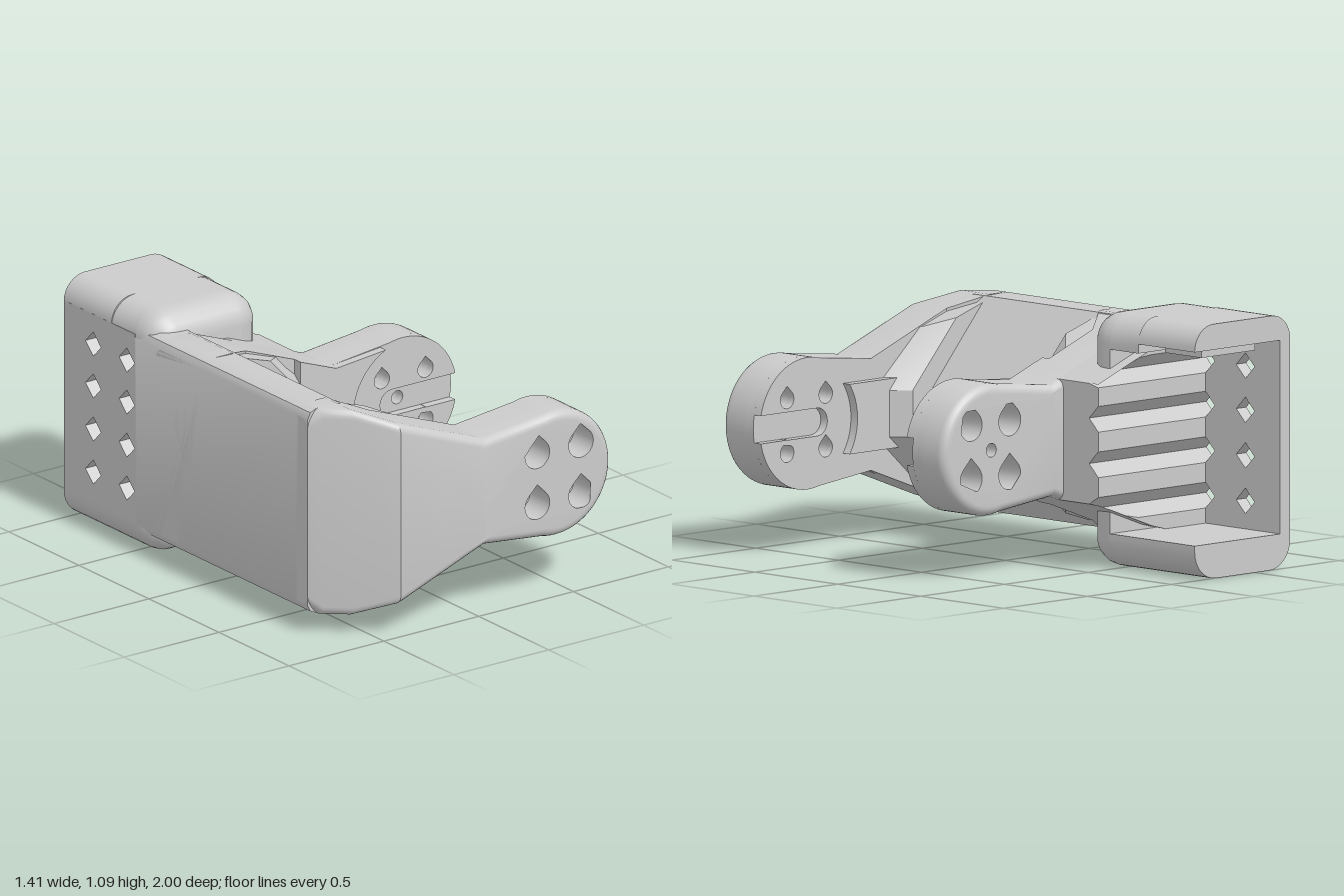
import * as THREE from 'three';
import { toCreasedNormals } from 'three/addons/utils/BufferGeometryUtils.js';

const MID = 0.55, TIP = 0.42, R = 0.283;
const mat = new THREE.MeshStandardMaterial({ color: 0xcccccc });
const clamp = THREE.MathUtils.clamp;

function mesh(name, geo, crease = 0.55) {
  const m = new THREE.Mesh(toCreasedNormals(geo, crease), mat);
  m.name = name;
  return m;
}

// Half height of the fan-shaped arm outline at x
const FAN = [[-0.71, 0.42], [-0.66, 0.465], [-0.56, 0.465], [0.04, 0.24], [0.35, 0.275]];
function fan(x) {
  for (let i = 1; i < FAN.length; i++) {
    const [x0, h0] = FAN[i - 1], [x1, h1] = FAN[i];
    if (x <= x1) return h0 + (h1 - h0) * clamp((x - x0) / (x1 - x0), 0, 1);
  }
  return 0.275;
}

const shapeOf = pts => new THREE.Shape(pts.map(p => new THREE.Vector2(p[0], p[1])));
function arc(cx, cy, r, a0, a1, n) {
  return Array.from({ length: n + 1 }, (_, i) => {
    const a = a0 + (a1 - a0) * i / n;
    return [cx + r * Math.cos(a), cy + r * Math.sin(a)];
  });
}
function extrude(shape, z0, z1, steps = 1) {
  return new THREE.ExtrudeGeometry(shape, { depth: z1 - z0, steps, bevelEnabled: false }).translate(0, 0, z0);
}
function moveVertices(geo, rule) {
  const p = geo.attributes.position, v = new THREE.Vector3();
  for (let i = 0; i < p.count; i++) {
    v.fromBufferAttribute(p, i);
    rule(v);
    p.setXYZ(i, v.x, v.y, v.z);
  }
  return geo;
}

// Extrusion whose +z rim is rounded by r, drawn in towards a core
function softExtrude(shape, z0, z1, r, core, skip = () => false) {
  const geo = extrude(shape, z0, z1, 6);
  return moveVertices(geo, v => {
    const k = Math.round((v.z - z0) / (z1 - z0) * 6);
    if (k === 0) return;
    const a = (k - 1) / 5 * Math.PI / 2;
    v.z = z1 - r + r * Math.sin(a);
    if (skip(v)) return;
    const [cx, cy] = core(v);
    const s = 1 - r * (1 - Math.cos(a)) / Math.hypot(v.x - cx, v.y - cy);
    v.x = cx + (v.x - cx) * s;
    v.y = cy + (v.y - cy) * s;
  });
}

// Skin through cross-sections listed along +x
function loft(sections) {
  const n = sections[0].length, idx = [], last = (sections.length - 1) * n;
  for (let s = 0; s < sections.length - 1; s++)
    for (let k = 0; k < n; k++) {
      const a = s * n + k, b = s * n + (k + 1) % n;
      idx.push(a, b, b + n, a, b + n, a + n);
    }
  for (let k = 1; k < n - 1; k++) idx.push(0, k + 1, k, last, last + k, last + k + 1);
  const g = new THREE.BufferGeometry();
  g.setAttribute('position', new THREE.Float32BufferAttribute(sections.flat(2), 3));
  g.setIndex(idx);
  return g;
}

// Round head outline, optionally with a slot open at the tip
function headOutline(slot) {
  const a1 = 104 * Math.PI / 180, x0 = -0.1, a0 = Math.asin(0.06 / R);
  const tip = slot
    ? [...arc(TIP, MID, R, -a1, -a0, 20), ...arc(0.36, MID, 0.06, -Math.PI / 2, -Math.PI * 1.5, 10),
      ...arc(TIP, MID, R, a0, a1, 20)]
    : arc(TIP, MID, R, -a1, a1, 44);
  return shapeOf([[x0, MID - fan(x0)], [0.04, MID - 0.24], ...tip, [0.04, MID + 0.24], [x0, MID + fan(x0)]]);
}

const SCREWS = [[0.31, 0.435], [0.31, 0.665], [0.54, 0.435], [0.54, 0.665]];
function addTeardrops(shape, r, up, centreHole) {
  for (const [x, y] of SCREWS) {
    const pts = arc(x, y, r, -Math.PI * 1.25, Math.PI / 4, 18);
    pts.push([x, y + r * Math.SQRT2]);
    shape.holes.push(shapeOf(pts.map(p => [p[0], y + (p[1] - y) * up])));
  }
  if (centreHole) shape.holes.push(shapeOf(arc(TIP, MID, 0.03, 0, Math.PI * 1.9, 15)));
  return shape;
}

// One arm, outer face at z = 1
function createArm(name, rear) {
  const g = new THREE.Group(), up = rear ? -1 : 1;
  g.name = name;

  // Neck, with the slanted outer corner on the front arm only
  const r = 0.04;
  const sections = [-0.71, -0.69, -0.66, -0.56, -0.41, -0.18, 0.04].map(x => {
    const h = fan(x), zo = rear ? 1 : Math.min(1, 0.74 + (x + 0.71) * 0.867);
    const zi = x < -0.5 ? 0.66 : 0.77;
    return [[-h, zi], [h, zi], ...arc(h - r, zo - r, r, 0, Math.PI / 2, 5),
      ...arc(r - h, zo - r, r, Math.PI / 2, Math.PI, 5)].map(([y, z]) => [x, MID + y, z]);
  });
  g.add(mesh('armNeck', loft(sections)));

  // Head in layers: slot, screw shafts, screw head recesses
  const nearHole = v => SCREWS.some(([x, y]) => Math.hypot(v.x - x, v.y - y) < 0.1)
    || Math.hypot(v.x - TIP, v.y - MID) < 0.05;
  g.add(mesh('armHeadSlot', extrude(addTeardrops(headOutline(true), 0.04, up), 0.77, 0.81)));
  g.add(mesh('armHeadCore', extrude(addTeardrops(headOutline(false), 0.04, up, rear), 0.81, 0.86)));
  g.add(mesh('armHeadOuter', softExtrude(addTeardrops(headOutline(false), 0.065, up, rear), 0.86, 1, r,
    v => [Math.min(v.x, TIP), MID], nearHole)));

  // Raised land ending in a round recess
  const lr = rear ? 0.29 : 0.26, cap = rear ? 1 : 0.15, a = rear ? 1.15 : 0.615;
  const h = x => Math.min(fan(x), cap);
  g.add(mesh('armLand', extrude(shapeOf([[-0.15, MID - h(-0.15)], [0.04, MID - h(0.04)],
    ...arc(TIP, MID, lr, Math.PI + a, Math.PI - a, 20),
    [0.04, MID + h(0.04)], [-0.15, MID + h(-0.15)]]), 0.73, 0.79)));

  // Chevron brace flaring into the arm
  const brace = extrude(shapeOf([[-0.6, 0.14], [-0.36, 0.17], [-0.1, 0.45], [-0.1, 0.65], [-0.36, 0.93], [-0.6, 0.96]]),
    0.66, 0.8);
  moveVertices(brace, v => {
    const edge = Math.abs(v.y - MID) > 0.3;
    if (v.x > -0.5) v.x += v.z - 0.66;
    if (edge) v.y = MID + Math.sign(v.y - MID) * (fan(v.x) - 0.005);
  });
  g.add(mesh('armBrace', brace, 0.3));
  return g;
}

export function createModel() {
  const model = new THREE.Group();
  model.name = 'bracket';

  // Two arms facing each other
  model.add(createArm('frontArm', false));
  const rear = createArm('rearArm', true);
  rear.rotation.x = Math.PI;
  rear.position.set(0, MID * 2, 0.66);
  model.add(rear);

  // Back wall with a ridged inner face
  const half = [[-0.71, 0.42], [-0.695, 0.45], [-0.66, 0.465], [-0.54, 0.46]];
  model.add(mesh('backWall', extrude(shapeOf([
    ...half.map(([x, y]) => [x, MID - y]), [-0.13, MID], ...half.reverse().map(([x, y]) => [x, MID + y]),
  ]), -0.49, 0.74)));

  // Solid front of the housing
  const X0 = -0.71, X1 = -0.14, Y1 = 1.09, C = 0.125;
  const block = shapeOf([
    ...arc(X0 + C, C, C, Math.PI, Math.PI * 1.5, 8), ...arc(X1 - C, C, C, -Math.PI / 2, 0, 8),
    ...arc(X1 - C, Y1 - C, C, 0, Math.PI / 2, 8), ...arc(X0 + C, Y1 - C, C, Math.PI / 2, Math.PI, 8)]);
  model.add(mesh('housingFront', softExtrude(block, -0.49, -0.34, 0.12,
    v => [clamp(v.x, X0 + C, X1 - C), clamp(v.y, C, Y1 - C)])));

  // Upper and lower flanges
  function flange(name, inner, z0, z1, top) {
    const q = Math.min(C, top ? Y1 - inner : inner);
    const pts = top
      ? [[X0, inner], [X1, inner], ...arc(X1 - q, Y1 - q, q, 0, Math.PI / 2, 8),
        ...arc(X0 + q, Y1 - q, q, Math.PI / 2, Math.PI, 8)]
      : [...arc(X0 + q, q, q, Math.PI, Math.PI * 1.5, 8), ...arc(X1 - q, q, q, -Math.PI / 2, 0, 8),
        [X1, inner], [X0, inner]];
    model.add(mesh(name, extrude(shapeOf(pts), z0, z1)));
  }
  flange('lowerFlange', 0.15, -1, -0.49, false);
  flange('upperFlange', 0.98, -1, -0.66, true);
  flange('upperFlangeRoot', 0.94, -0.66, -0.49, true);
  model.add(mesh('flangePad', new THREE.BoxGeometry(0.32, 0.05, 0.22).translate(-0.4, 0.965, -0.83)));

  // Housing wall pierced by diamond vents
  const ROWS = [0.27, 0.465, 0.66, 0.85], D = 0.055;
  const wall = shapeOf([[0.49, 0.14], [1, 0.14], [1, 0.985], [0.49, 0.985]]);
  for (const u of [0.55, 0.79]) for (const y of ROWS)
    wall.holes.push(shapeOf([[u - D, y], [u, y - D], [u + D, y], [u, y + D]]));
  model.add(mesh('ventWall', extrude(wall, -0.71, -0.65).rotateY(Math.PI / 2)));

  // Grooved block between housing and rear arm, following the fan outline
  const grooves = ROWS.slice().reverse().flatMap(y => [[0.55, y + D], [0.55 - D, y], [0.55, y - D]]).reverse();
  const grooved = extrude(shapeOf([[0.3, 0.15], [0.55, 0.15], ...grooves, [0.55, 0.94], [0.3, 0.94]]),
    -0.65, -0.01, 8).rotateY(Math.PI / 2);
  moveVertices(grooved, v => { v.y = clamp(v.y, MID - fan(v.x), MID + fan(v.x)); });
  model.add(mesh('groovedBlock', grooved));

  return model;
}
